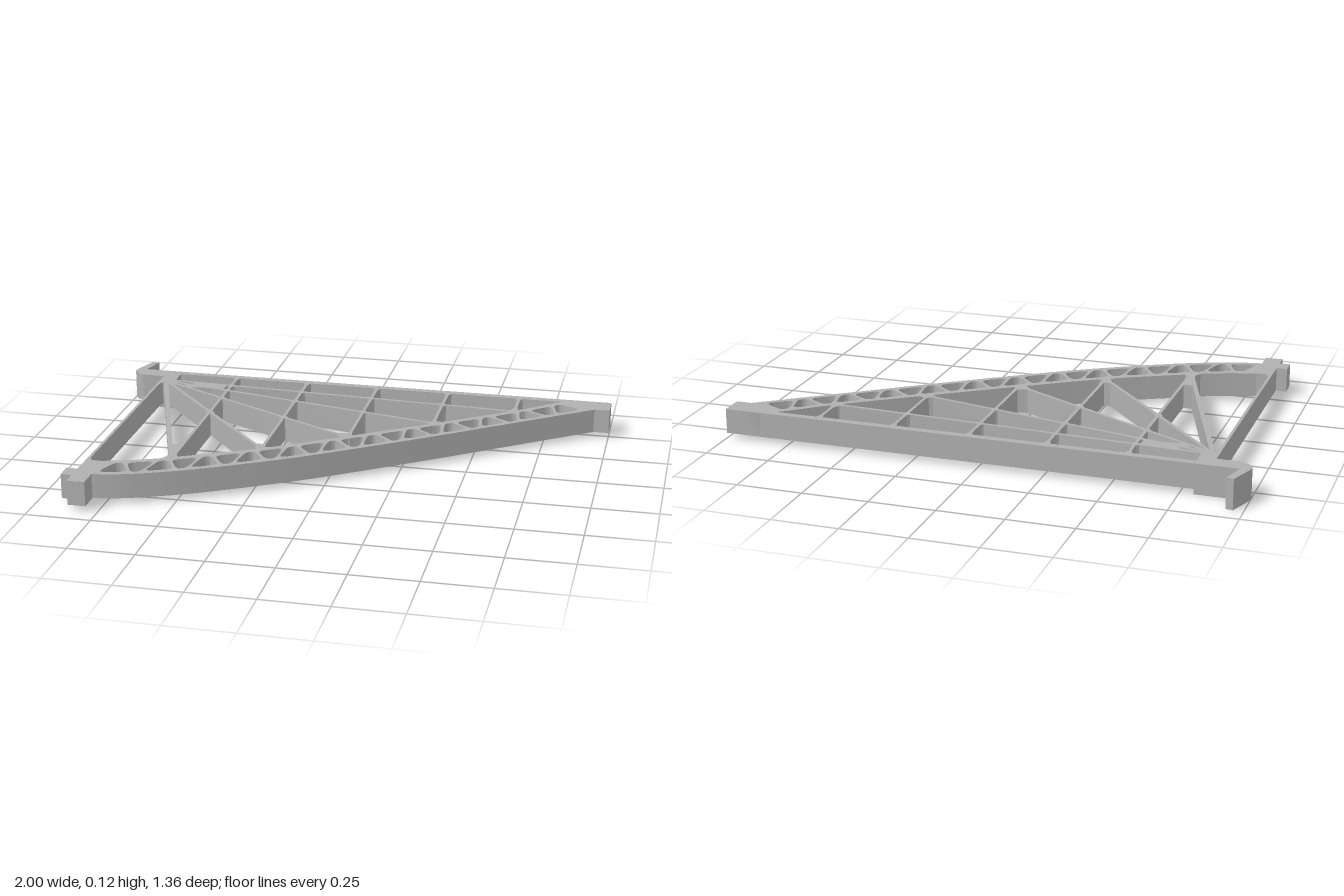
import * as THREE from 'three';
import { toCreasedNormals } from 'three/addons/utils/BufferGeometryUtils.js';

const TOP = 0.115, BASE = 0.02;
const V = (x, z) => new THREE.Vector2(x, z);

export function createModel() {
  const group = new THREE.Group();
  const grey = new THREE.MeshStandardMaterial({ color: 0xb0b0b0 });
  grey.name = 'plain grey';

  // Extrudes a plan outline (x, z) upright between two heights
  function slab(name, points, y0 = BASE, y1 = TOP, holes = []) {
    const shape = new THREE.Shape(points.map(p => (p.isVector2 ? p : V(p[0], p[1]))));
    shape.holes = holes;
    let geo = new THREE.ExtrudeGeometry(shape, { depth: y1 - y0, bevelEnabled: false, curveSegments: 4 });
    geo.rotateX(Math.PI / 2).translate(0, y1, 0);
    geo = toCreasedNormals(geo, 0.5);
    const mesh = new THREE.Mesh(geo, grey);
    mesh.name = name;
    group.add(mesh);
  }

  // Thin web from a to b, flared at each end
  function web(name, a, b, w, flareA, flareB) {
    const d = b.clone().sub(a), len = d.length();
    d.normalize();
    const n = V(-d.y, d.x);
    const at = (s, o) => a.clone().addScaledVector(d, s).addScaledVector(n, o);
    const h = w / 2, A = flareA, B = flareB;
    const side = [[0, h + A], [A * 0.4, h + A * 0.35], [A * 1.4, h],
      [len - B * 1.6, h], [len - B * 0.6, h + B * 0.3], [len, h + B]];
    slab(name, [...side.map(([s, o]) => at(s, o)), ...side.reverse().map(([s, o]) => at(s, -o))]);
  }

  // Closed path with rounded corners
  function rounded(pts, k) {
    const path = new THREE.Path();
    pts.forEach((p, i) => {
      const prev = pts[(i + pts.length - 1) % pts.length], next = pts[(i + 1) % pts.length];
      const a = p.clone().lerp(prev, k), b = p.clone().lerp(next, k);
      if (i === 0) path.moveTo(a.x, a.y); else path.lineTo(a.x, a.y);
      path.quadraticCurveTo(p.x, p.y, b.x, b.y);
    });
    path.closePath();
    return path;
  }

  // Curved chord with alternating wedge-shaped openings
  const outer = new THREE.SplineCurve([V(-0.8, 0.597), V(-0.665, 0.567), V(-0.45, 0.475), V(-0.185, 0.325),
    V(0, 0.205), V(0.35, -0.045), V(0.67, -0.285), V(0.94, -0.487)]);
  const inner = new THREE.SplineCurve([V(-0.8, 0.463), V(-0.665, 0.42), V(-0.56, 0.372), V(-0.255, 0.21),
    V(0.03, 0.02), V(0.365, -0.215), V(0.635, -0.41), V(0.79, -0.54), V(0.86, -0.58)]);
  const across = (t, v) => inner.getPointAt(t).lerp(outer.getPointAt(t), v);
  const holes = [];
  for (let i = 0; i < 23; i++) {
    const t = 0.036 + i * 0.0415;
    const wide = 0.027, slim = 0.0085;
    const [hi, ho] = i % 2 ? [wide, slim] : [slim, wide];
    holes.push(rounded([across(t - hi, 0.19), across(t + hi, 0.19),
      across(t + ho, 0.84), across(t - ho, 0.84)], 0.3));
  }
  slab('curvedChord', [...outer.getSpacedPoints(40), V(0.95, -0.58), ...inner.getSpacedPoints(40).reverse()],
    BASE, TOP, holes);

  // Straight rear rail and its end block
  slab('rearRail', [[-0.86, -0.58], [1, -0.58], [1, -0.55], [-0.86, -0.55]]);
  slab('endBlock', [[0.86, -0.58], [1, -0.58], [1, -0.487], [0.94, -0.487], [0.89, -0.455]]);

  // Corner hub and hook, reaching down to the ground
  slab('hook', [[-0.962, -0.68], [-0.935, -0.675], [-0.96, -0.58], [-0.8, -0.58], [-0.8, -0.51],
    [-0.955, -0.51], [-0.985, -0.53], [-1, -0.555], [-0.997, -0.58]], 0, TOP);
  slab('hub', [[-0.863, -0.56], [-0.8, -0.56], [-0.8, -0.46], [-0.775, -0.43], [-0.81, -0.425],
    [-0.845, -0.435], [-0.853, -0.4], [-0.863, -0.4]]);
  slab('hubFoot', [[-0.863, -0.58], [-0.8, -0.58], [-0.8, -0.47], [-0.73, -0.466], [-0.73, -0.43],
    [-0.8, -0.445], [-0.863, -0.445]], 0, BASE);

  // Front corner block, nub and the side post
  slab('cornerBlock', [[-0.863, 0.463], [-0.795, 0.463], [-0.795, 0.675], [-0.863, 0.675]]);
  slab('cornerNub', [[-0.905, 0.555], [-0.86, 0.555], [-0.86, 0.62], [-0.905, 0.62]]);
  slab('sidePost', [[-0.863, -0.45], [-0.852, -0.45], [-0.852, 0.44], [-0.84, 0.463], [-0.863, 0.463]]);

  // Parallel ribs from the rail to the chord, and radial webs from the hub
  const ribs = [[-0.555, 0.375], [-0.253, 0.215], [0.042, 0.02], [0.337, -0.19], [0.63, -0.4]]
    .map(([x, z]) => [V(x, -0.56), V(x, z)]);
  const radials = [[-0.8, -0.468, 0.64, -0.4], [-0.8, -0.45, 0.355, -0.195], [-0.805, -0.44, 0.03, 0.015],
    [-0.815, -0.435, -0.25, 0.215], [-0.828, -0.43, -0.558, 0.375]]
    .map(([x, z, u, v]) => [V(x, z), V(u, v)]);
  ribs.forEach(([a, b]) => web('rib', a, b, 0.012, 0.024, 0.026));
  radials.forEach(([a, b], i) => web('radialWeb', a, b, i === 4 ? 0.018 : 0.014, 0.004, 0.026));

  // Small gussets where ribs cross radials
  ribs.forEach(([a, b]) => radials.forEach(([p, q]) => {
    const x = a.x, z = p.y + (q.y - p.y) * (x - p.x) / (q.x - p.x);
    if (x > q.x - 0.03 || z > b.y - 0.03) return;
    const r = 0.021;
    slab('gusset', [[x, z - r], [x + r, z + r * 0.15], [x, z + r], [x - r, z - r * 0.15]]);
  }));

  // Solid wedges where a rib and a radial meet the chord
  [[-0.604, 0.235, -0.555, 0.235, 0.38], [-0.295, 0.165, -0.253, 0.165, 0.22], [-0.01, -0.01, 0.042, -0.02, 0.04],
    [0.3, -0.208, 0.337, -0.22, -0.18], [0.592, -0.4, 0.63, -0.425, -0.38]]
    .forEach(([x0, z0, x1, z1, z2]) => slab('jointWedge', [[x0, z0], [x1, z1], [x1 + 0.01, z2], [x1 - 0.01, z2]]));

  // Thick bridge joining the first radials near the hub
  slab('webBridge', [[-0.73, -0.465], [-0.57, -0.457], [-0.575, -0.405], [-0.66, -0.405], [-0.73, -0.395],
    [-0.75, -0.43], [-0.7, -0.432]]);

  return group;
}
